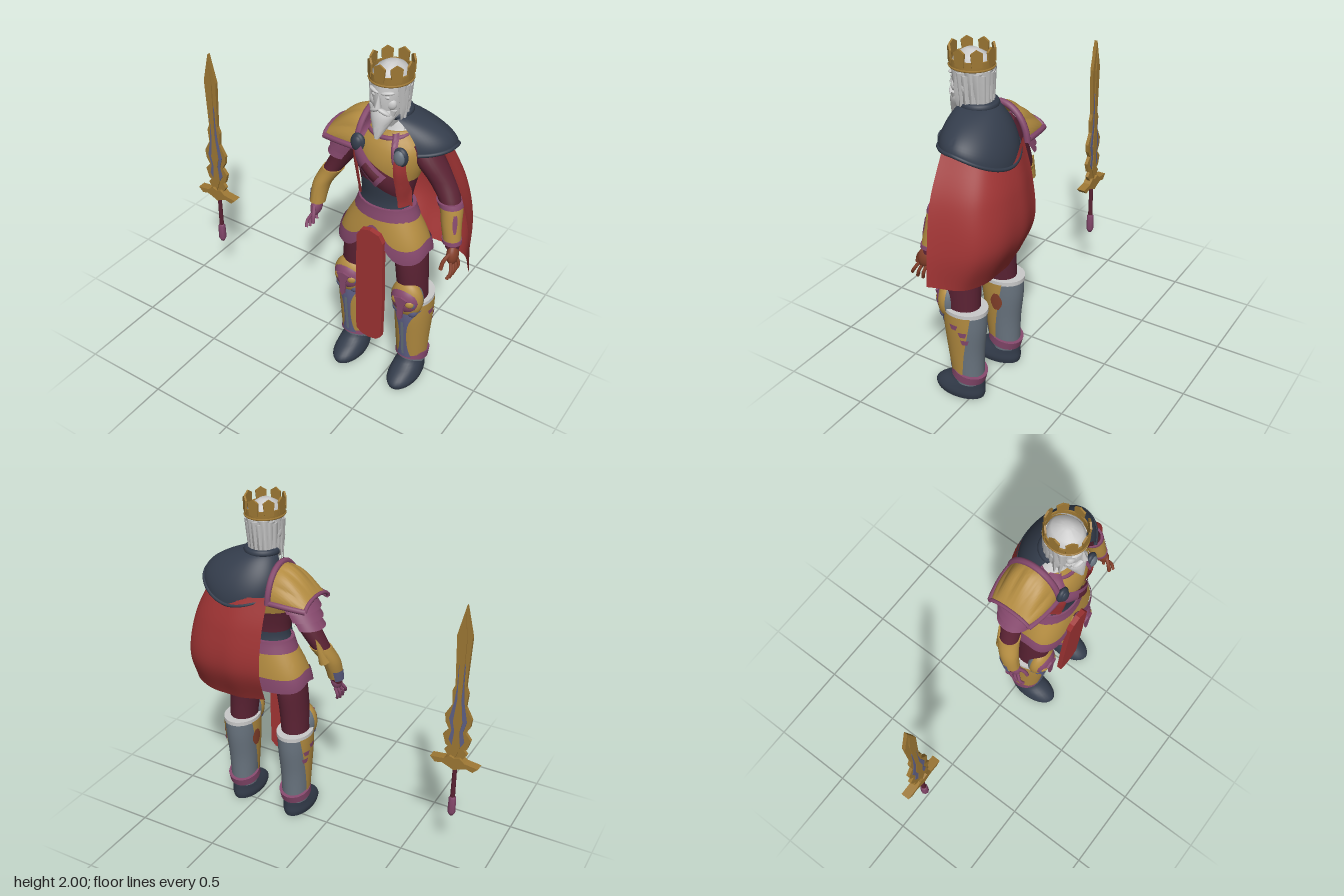
import * as THREE from 'three';
import { mergeVertices, toCreasedNormals } from 'three/addons/utils/BufferGeometryUtils.js';

const mat = (name, color, open = true) =>
  new THREE.MeshStandardMaterial({ name, color, side: open ? THREE.DoubleSide : THREE.FrontSide });
const M = {
  gold: mat('gold', 0xb28b40), oldGold: mat('old gold', 0x9e7834), plum: mat('plum', 0x85486c),
  maroon: mat('maroon', 0x5a2233, false), navy: mat('navy', 0x343d4c), red: mat('red', 0xa03434),
  steel: mat('steel', 0x69747f), white: mat('white', 0xcacaca), indigo: mat('indigo', 0x5f6187), rust: mat('rust', 0x84402a, false),
};
const CX = 0.42, PI = Math.PI;
const V = (x, y, z) => new THREE.Vector3(x, y, z);

export function createModel() {
  const root = new THREE.Group();
  root.name = 'kingAndSword';
  let target = root;
  const group = (name, x = 0) => {
    target = new THREE.Group();
    target.name = name;
    target.position.x = x;
    root.add(target);
  };
  const add = (name, geo, material, x = 0, y = 0, z = 0, s = [1, 1, 1], r = [0, 0, 0]) => {
    const m = new THREE.Mesh(geo, material);
    m.name = name;
    m.position.set(x, y, z);
    m.scale.set(...s);
    m.rotation.set(...r);
    target.add(m);
  };

  // surface from a function of (u, v), both 0..1
  const grid = (fn, nu, nv) => {
    const pos = [], idx = [];
    for (let j = 0; j <= nv; j++) for (let i = 0; i <= nu; i++) {
      const p = fn(i / nu, j / nv);
      pos.push(p.x, p.y, p.z);
      if (i < nu && j < nv) {
        const a = j * (nu + 1) + i, b = a + nu + 1;
        idx.push(a, a + 1, b + 1, a, b + 1, b);
      }
    }
    const g = new THREE.BufferGeometry();
    g.setAttribute('position', new THREE.Float32BufferAttribute(pos, 3));
    g.setIndex(idx);
    return toCreasedNormals(mergeVertices(g, 1e-5), 0.9);
  };

  // smooth reading of rings [y, cx, rx, cz, rz] at a height
  const at = (R, y) => {
    let i = 0;
    while (i < R.length - 2 && y > R[i + 1][0]) i++;
    const h = R[i + 1][0] - R[i][0], t = (y - R[i][0]) / h;
    const slope = (j, k) => {
      const a = R[Math.max(j - 1, 0)], b = R[Math.min(j + 1, R.length - 1)];
      return (b[k] - a[k]) / (b[0] - a[0]) * h;
    };
    return [1, 2, 3, 4].map(k => (2 * t ** 3 - 3 * t * t + 1) * R[i][k] + (t ** 3 - 2 * t * t + t) * slope(i, k)
      + (3 * t * t - 2 * t ** 3) * R[i + 1][k] + (t ** 3 - t * t) * slope(i + 1, k));
  };
  // oval loft through rings; half and mid limit it to a patch, g0 and g1 swell its bottom and top
  const loft = (R, { y0 = R[0][0], y1 = R.at(-1)[0], half = null, mid = 0, g0 = 0, g1 = g0, rows = 12, n = 28 } = {}) => {
    const cap = half ? 0 : 1, nv = rows + 2 * cap;
    return grid((u, v) => {
      const j = Math.round(v * nv), s = THREE.MathUtils.clamp((j - cap) / rows, 0, 1);
      const y = y0 + (y1 - y0) * s, [cx, rx, cz, rz] = at(R, y);
      const k = cap && (j === 0 || j === nv) ? 0 : 1, g = g0 + (g1 - g0) * s;
      const a = half ? mid + (u * 2 - 1) * half(s) : (u % 1) * 2 * PI;
      return V(cx + k * (rx + g) * Math.sin(a), y, cz + k * (rz + g) * Math.cos(a));
    }, n, nv);
  };
  // flat plate from the right half of its outline
  const plate = (pts, depth) => {
    const all = [...pts, ...pts.filter(p => p[0] > 0).reverse().map(([x, y]) => [-x, y])];
    return new THREE.ExtrudeGeometry(new THREE.Shape(all.map(p => new THREE.Vector2(...p))), { depth, bevelEnabled: false });
  };
  const tube = (pts, r, n = 32) => new THREE.TubeGeometry(new THREE.CatmullRomCurve3(pts), n, r, 8);
  const ball = new THREE.SphereGeometry(1, 24, 16);

  // torso
  group('torso');
  const T = [[1.08, CX, .18, .065, .125], [1.2, CX, .137, .07, .1], [1.33, CX, .155, .07, .115], [1.45, CX, .185, .06, .135],
    [1.54, CX, .185, .05, .125], [1.61, CX, .12, .045, .09], [1.68, CX, .06, .06, .06]];
  add('waist', loft(T, { y0: 1.14, y1: 1.27 }), M.navy);
  add('ribs', loft(T, { y0: 1.23, y1: 1.38, g0: .006 }), M.maroon);
  add('belly', loft(T, { y0: 1.18, y1: 1.33, g0: .012, half: s => 1.05 - .45 * s }), M.navy);
  add('breastplate', loft(T, { y0: 1.36, y1: 1.62, g0: .01 }), M.gold);
  add('neck', loft(T, { y0: 1.6, y1: 1.68 }), M.white);
  add('collar', new THREE.TorusGeometry(.115, .014, 8, 32), M.plum, CX, 1.61, .055, [1, .9, 1], [PI / 2 + .25, 0, 0]);
  add('belt', loft(T, { y0: 1.105, y1: 1.175, g0: .016, g1: .02 }), M.plum);

  // straps that follow the chest
  const chestZ = (x, y, lift) => {
    const [cx, rx, cz, rz] = at(T, y), d = (x - cx) / (rx + .02);
    return cz + (rz + lift) * Math.sqrt(Math.max(1 - d * d, .08));
  };
  const strap = (name, m, x0, y0, x1, y1, w, lift) => {
    const l = Math.hypot(x1 - x0, y1 - y0), nx = (y1 - y0) / l, ny = -(x1 - x0) / l;
    add(name, grid((u, v) => {
      const k = (u - .5) * w, x = x0 + (x1 - x0) * v + nx * k, y = y0 + (y1 - y0) * v + ny * k;
      return V(x, y, chestZ(x, y, lift + .012 * Math.sin(u * PI)));
    }, 6, 16), m);
  };
  strap('sash', M.maroon, .26, 1.47, .56, 1.31, .11, .02);
  strap('sashPouchFrame', M.plum, .27, 1.5, .46, 1.36, .1, .03);
  strap('sashPouch', M.maroon, .36, 1.433, .44, 1.375, .06, .037);
  strap('ribbon', M.red, .282, 1.5, .3, 1.22, .05, .03);
  strap('ribbon', M.red, .545, 1.5, .562, 1.2, .055, .03);
  strap('shoulderStrap', M.plum, .285, 1.5, .32, 1.64, .05, .02);
  strap('shoulderStrap', M.plum, .525, 1.48, .49, 1.62, .03, .02);
  for (const [x, m] of [[.297, M.navy], [.545, M.steel]]) {
    add('clasp', ball, M.navy, x, 1.52, .175, [.042, .054, .025]);
    add('claspFace', ball, m, x, 1.52, .184, [.033, .044, .025]);
  }

  // skirt with a hem that arches at the front
  group('skirt');
  const skirt = (v0, v1, grow) => grid((u, v) => {
    const a = (u % 1) * 2 * PI, front = Math.max(0, Math.cos(a)), s = v0 + (v1 - v0) * v;
    const hem = .875 + .17 * front ** 18 + .045 * Math.sin(a) ** 8, y = hem + (1.125 - hem) * s, k = (1.125 - y) / .25;
    const w = Math.sin(k * PI / 2), q = 1 + .09 * w * Math.sin(2 * a) ** 2;
    return V(CX + (.172 + .09 * w + grow) * q * Math.sin(a), y, .07 + (.125 + .024 * w + grow) * q * Math.cos(a));
  }, 64, 10);
  add('skirtPlate', skirt(.25, 1, 0), M.gold);
  add('skirtHem', skirt(0, .34, .007), M.plum);
  const tab = plate([[0, .29], [.05, .3], [.08, .33], [.085, .6], [.08, 1], [.055, 1.045], [0, 1.06]], .03);
  add('tabard', tab, M.red, CX, -.002, .182, [1, 1, 1], [.028, 0, 0]);

  // legs
  const shin = [[.1, 0, .078, .03, .085], [.3, 0, .088, .04, .1], [.48, 0, .098, .04, .12], [.585, 0, .098, .04, .122]];
  const boot = [[0, 0, .08, .095, .15], [.03, 0, .088, .095, .157], [.07, 0, .082, .075, .135], [.11, 0, .074, .04, .1], [.15, 0, .07, .03, .08]];
  for (const side of [-1, 1]) {
    group(side < 0 ? 'rightLeg' : 'leftLeg', CX + side * .185);
    const thigh = [[.5, 0, .08, .05, .09], [.7, -side * .012, .083, .06, .102], [.88, -side * .03, .085, .06, .112], [1, -side * .055, .085, .06, .1]];
    add('thigh', loft(thigh), M.maroon);
    add('boot', loft(boot), M.navy);
    add('greaveBack', loft(shin), M.steel);
    add('greaveFront', loft(shin, { y0: .18, y1: .57, g0: .007, half: s => 1.6 + .5 * s, mid: side * .15 }), M.gold);
    add('greaveStripe', loft(shin, { y0: .17, y1: .55, g0: .013, half: s => .2 + .75 * s ** 6 + .3 * (1 - s) ** 6 }), M.indigo);
    add('greaveRidge', loft(shin, { y0: .2, y1: .46, g0: .017, half: () => .08 }), M.steel);
    add('greavePatch', loft(shin, { y0: .4, y1: .51, g0: .011, half: s => .28 * Math.sin(.4 + 2.4 * s), mid: -side * 1.7 }), M.rust);
    for (const [y, a] of [[.49, 1.5], [.45, 1.9], [.4, 2]])
      add('greaveMark', loft(shin, { y0: y, y1: y + .03, g0: .011, half: s => .12 + .08 * s, mid: side * a, rows: 3, n: 6 }), M.plum);
    add('cuff', loft(shin, { y0: .565, y1: .59, g0: .006 }), M.white);
    add('ankleBand', loft(shin, { y0: .115, y1: .165, g0: .014, rows: 4 }), M.plum, 0, .012, .036, [1, 1, 1], [-.26, 0, 0]);
    // knee guard
    add('kneeGuard', ball, M.gold, 0, .61, .13, [.095, .12, .065]);
    add('kneeBack', ball, M.steel, 0, .61, .115, [.092, .115, .05]);
    add('kneeFace', ball, M.plum, 0, .615, .143, [.087, .09, .062]);
    add('kneeBeak', plate([[0, .5], [.014, .52], [.02, .6], [.04, .65], [0, .66]], .012), M.plum, 0, 0, .198);
    for (const s of [-1, 1]) {
      add('kneeHollow', ball, M.indigo, s * .045, .612, .178, [.034, .032, .016], [0, s * .4, 0]);
      add('kneeStud', ball, M.gold, s * .045, .617, .187, [.025, .022, .013], [0, s * .4, 0]);
      add('kneeCheek', ball, M.indigo, s * .042, .545, .15, [.035, .04, .025]);
    }
  }

  // arms
  const armR = [[.95, -.012, .028, .1, .03], [1.1, 0, .04, .06, .048], [1.2, .05, .053, .025, .055], [1.32, .12, .066, .01, .066],
    [1.45, .2, .078, .015, .085], [1.56, .26, .07, .03, .08]];
  const armL = [[1.03, .825, .036, .09, .036], [1.15, .8, .045, .07, .046], [1.26, .775, .055, .045, .056], [1.36, .71, .072, .025, .066],
    [1.48, .62, .08, .03, .085], [1.56, .57, .07, .03, .08]];
  const hand = (m, x, y, z, side) => {
    add('palm', ball, m, x, y, z, [.03, .058, .042], [-.25, 0, side * .1]);
    for (let i = 0; i < 4; i++) {
      const dz = -.033 + i * .022, a = V(x + side * .008, y - .035, z + dz);
      add('finger', tube([a, V(a.x + side * .016, y - .08, z + dz * 1.4 + .015), V(a.x + side * .006, y - .125 + Math.abs(i - 1.5) * .012, z + dz * 1.5 + .03)], .009, 8), m);
    }
    add('thumb', tube([V(x, y + .02, z + .025), V(x - side * .02, y - .02, z + .06), V(x - side * .026, y - .065, z + .075)], .011, 8), m);
  };
  group('rightArm');
  add('sleeve', loft(armR), M.maroon);
  add('gauntlet', loft(armR, { y0: .99, y1: 1.2, g0: .012, g1: .008 }), M.gold);
  add('gauntletElbow', new THREE.ConeGeometry(.045, .16, 12), M.gold, .03, 1.2, -.015, [.8, 1, 1], [-.35, 0, -.2]);
  add('gauntletInlay', loft(armR, { y0: .98, y1: 1.05, g0: .017, half: () => .7, mid: -2 }), M.indigo);
  hand(M.plum, -.008, .96, .105, -1);
  // fluted shoulder guard
  const dome = (a, b, g = 0) => {
    const f = 1 + g + .06 * (Math.abs(Math.cos(a * 5)) - .5) * Math.sin(b * PI);
    return V(.28 - .215 * b, 1.455 + .2 * f * Math.cos(b * 1.3) * Math.cos(a), .01 + .155 * f * (1 - .2 * b * b) * Math.sin(a));
  };
  add('shoulderGuard', grid((u, v) => dome((.5 - u) * 3, v), 80, 14), M.gold);
  const arch = b => Array.from({ length: 13 }, (_, i) => dome((i / 12 - .5) * 3, b, .02));
  add('shoulderInnerRim', tube(arch(0), .018), M.plum);
  add('shoulderOuterRim', tube(arch(1), .011), M.plum);
  for (const a of [-1.45, 1.45])
    add('shoulderLowerRim', tube([0, .25, .5, .75, 1].map(b => dome(a, b, .02)), .016), M.plum);
  for (let i = 0; i < 3; i++)
    add('armLame', loft(armR, { y0: 1.325 + i * .05, y1: 1.4 + i * .05, g0: .034 + i * .008, g1: .012 + i * .01, half: () => 1.7, mid: -1.4, rows: 4 }), M.plum);

  group('leftArm');
  add('sleeve', loft(armL), M.maroon);
  add('bracer', loft(armL, { y0: 1.07, y1: 1.26, g0: .008 }), M.gold);
  add('bracerTop', loft(armL, { y0: 1.255, y1: 1.278, g0: .012, rows: 3 }), M.plum);
  add('bracerBottom', loft(armL, { y0: 1.06, y1: 1.08, g0: .013, rows: 3 }), M.plum);
  add('bracerInlay', loft(armL, { y0: 1.13, y1: 1.23, g0: .011, half: s => .22 * Math.sin(.5 + 2 * s), mid: .8 }), M.plum);
  hand(M.rust, .838, 1, .105, 1);

  // cape and mantle
  group('cape');
  const rows = [
    [[.29, 1.5, -.13], [.46, 1.5, -.185], [.64, 1.52, -.13], [.72, 1.56, .06]],
    [[.3, 1.3, -.19], [.5, 1.3, -.24], [.74, 1.3, -.17], [.84, 1.32, .06]],
    [[.31, 1.06, -.21], [.52, 1.06, -.25], [.78, 1.06, -.19], [.897, 1.07, .05]],
    [[.33, .85, -.13], [.54, .83, -.15], [.79, .845, -.11], [.913, .88, .05]],
  ].map(r => new THREE.CatmullRomCurve3(r.map(p => V(...p))));
  add('capeCloth', grid((u, v) => {
    const p = new THREE.CatmullRomCurve3(rows.map(c => c.getPoint(u))).getPoint(1 - v);
    p.z += .003 * Math.sin(u * 22) * (1 - v) * Math.sin(u * PI);
    return p;
  }, 40, 30), M.red);
  const mantle = (u, v) => {
    const a = .5 + u * 4.3, back = Math.max(0, -Math.cos(a)), left = Math.max(0, Math.sin(a));
    const hem = 1.525 - .085 * back ** 1.5 + .03 * left, k = Math.sin(v * PI / 2);
    const ox = .51 + .235 * Math.sin(a), oz = -.015 + .185 * Math.cos(a);
    return V(CX + .085 * Math.sin(a) + (ox - CX - .085 * Math.sin(a)) * k, 1.7 + (hem - 1.7) * (1 - Math.cos(v * PI / 2)) ** .7,
      .045 + .085 * Math.cos(a) + (oz - .045 - .085 * Math.cos(a)) * k);
  };
  add('mantle', grid((u, v) => mantle(u, 1 - v), 48, 14), M.navy);
  for (const v of [0, 1]) add('mantleRoll', tube(Array.from({ length: 17 }, (_, i) => mantle(i / 16, v)), v ? .01 : .02, 48), M.navy);

  // head
  group('head', CX);
  const skull = [[1.64, 0, .05, .08, .06], [1.72, 0, .074, .09, .088], [1.8, 0, .084, .087, .103], [1.88, 0, .09, .08, .105], [1.94, 0, .075, .08, .09], [1.975, 0, .025, .08, .03]];
  add('face', loft(skull), M.white);
  add('hair', loft(skull, { y0: 1.69, y1: 1.92, g0: .022, g1: .008, half: () => 1.9, mid: PI }), M.white);
  add('beard', loft([[1.6, 0, .012, .2, .012], [1.66, 0, .042, .17, .04], [1.72, 0, .068, .14, .062], [1.765, 0, .06, .12, .06]]), M.white);
  add('nose', new THREE.ConeGeometry(.018, .075, 6), M.white, 0, 1.808, .194, [1, 1, 1.2], [-.15, 0, 0]);
  for (const s of [-1, 1]) {
    add('brow', ball, M.white, s * .038, 1.85, .176, [.034, .01, .014], [0, s * .35, s * .15]);
    add('eye', ball, M.white, s * .036, 1.826, .176, [.015, .009, .008]);
    add('cheek', ball, M.white, s * .04, 1.785, .15, [.035, .035, .025]);
    add('moustache', ball, M.white, s * .026, 1.748, .186, [.036, .012, .016], [0, s * .4, -s * .5]);
    add('ear', ball, M.white, s * .09, 1.8, .07, [.012, .03, .02]);
  }
  // long flat locks of uneven length
  for (let i = 0; i < 15; i++) {
    const a = 1.2 + i * .277, l = .2 + .07 * ((i * 7) % 4) / 3;
    add('hairLock', new THREE.ConeGeometry(.034, l, 5), M.white, .091 * Math.sin(a), 1.885 - l / 2 - .01 * (i % 3), .08 + .108 * Math.cos(a),
      [1, 1, .5], [PI, PI - a, 0]);
  }
  for (let i = -2; i <= 2; i++)
    add('beardLock', new THREE.ConeGeometry(.018, .12, 6), M.white, i * .024, 1.67 + .014 * Math.abs(i), .188 - .014 * Math.abs(i), [1, 1, 1], [PI - .15, 0, i * .1]);

  // crown
  group('crown', CX);
  const oval = (r, y) => u => V(r * Math.sin(u * 2 * PI), y, .08 + (r + .009) * Math.cos(u * 2 * PI));
  const rim = [[.1, 1.887], [.107, 1.887], [.108, 1.935], [.1, 1.935], [.1, 1.887]].map(p => oval(...p));
  add('crownBand', grid((u, v) => rim[Math.round(v * 4)](u % 1), 40, 4), M.oldGold);
  add('crownEdge', new THREE.TorusGeometry(.107, .006, 6, 40), M.oldGold, 0, 1.892, .08, [1, 1.08, 1], [PI / 2, 0, 0]);
  const point = plate([[0, 1.91], [.025, 1.91], [.031, 1.98], [0, 2]], .01);
  for (let i = 0; i < 8; i++) {
    const a = i * PI / 4;
    add('crownPoint', point, M.oldGold, .1 * Math.sin(a), 0, .08 + .108 * Math.cos(a), [1, 1, 1], [0, a, 0]);
  }

  // sword
  group('sword', -.782);
  const Z = .035;
  add('blade', plate([[0, 1.645], [.042, 1.47], [.03, 1.18], [.045, 1.14], [.038, 1.06], [.076, .99], [.07, .94], [.048, .9], [.08, .86], [.062, .8], [.045, .79], [.066, .765], [.03, .71], [0, .7]], .02), M.oldGold, 0, 0, Z - .01);
  for (const s of [-1, 1]) {
    add('bladeInlay', plate([[0, 1.36], [.018, 1.3], [.019, 1.18], [.028, 1.08], [.05, .97], [.032, .9], [.045, .84], [0, .76]], .004), M.indigo, 0, 0, Z + s * .012 - .002);
    add('bladeRidge', plate([[0, 1.6], [.016, 1.46], [.011, 1.1], [.026, .96], [.014, .9], [.024, .8], [0, .73]], .007), M.oldGold, 0, 0, Z + s * .015 - .0035);
  }
  add('guard', plate([[0, .655], [.03, .67], [.07, .685], [.11, .675], [.125, .69], [.14, .705], [.1, .71], [.06, .715], [.03, .74], [0, .73]], .05), M.oldGold, 0, 0, Z - .025);
  add('grip', new THREE.CylinderGeometry(.012, .014, .22, 12), M.maroon, 0, .56, Z);
  add('pommel', new THREE.LatheGeometry([[0, .33], [.012, .335], [.024, .36], [.022, .45], [.012, .465], [0, .465]].map(p => new THREE.Vector2(...p)), 8), M.plum, 0, 0, Z);
  return root;
}
